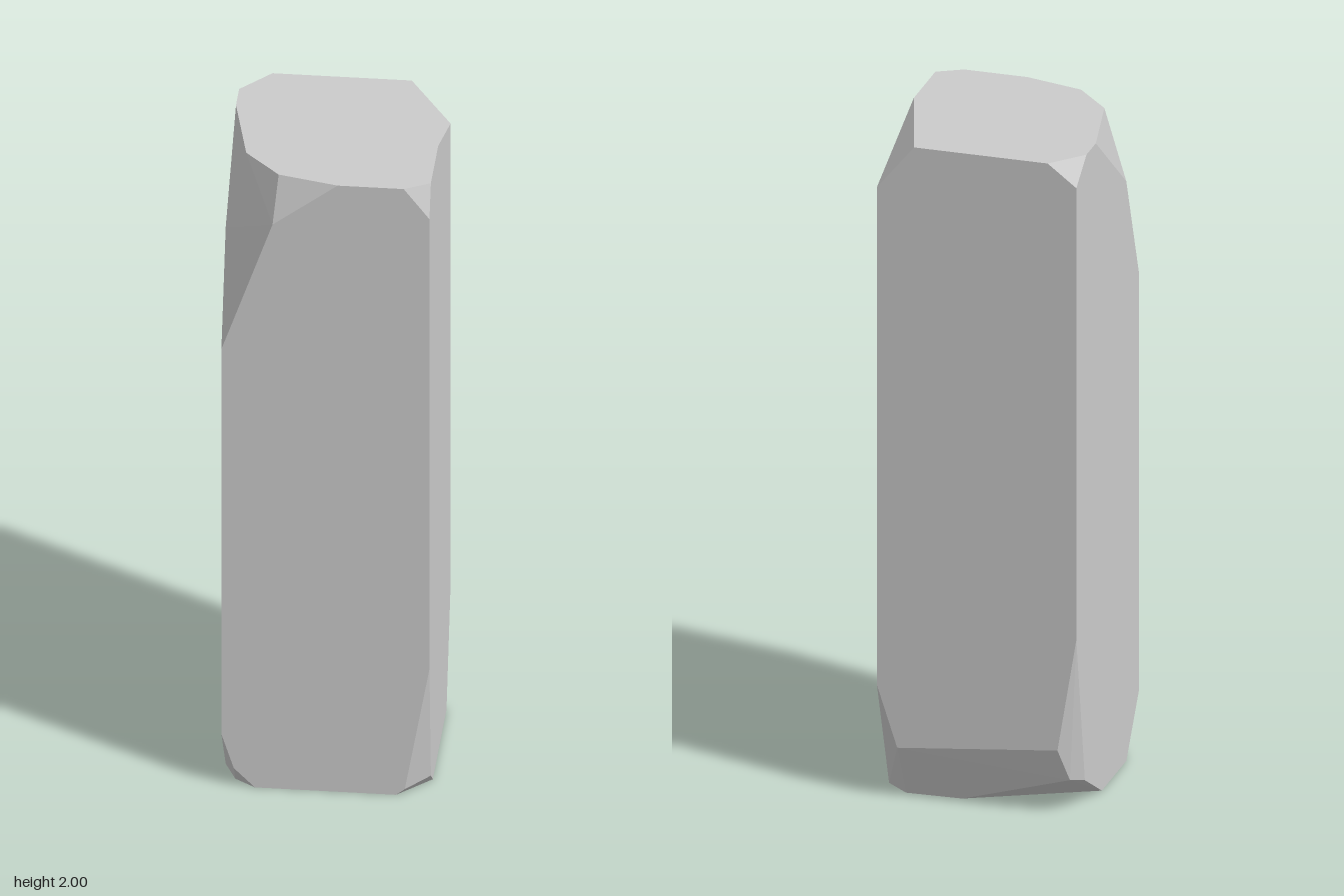
import * as THREE from 'three';
import { ConvexGeometry } from 'three/addons/geometries/ConvexGeometry.js';

const H = 0.295; // half width of the square pillar

// Each chipped corner of the block, as the vertices left by its cuts.
const chips = {
  topFrontLeft: [[H, 2, 0.255], [0.222, 2, H], [H, 1.905, H]],
  topBackLeft: [[H, 2, 0.052], [0.185, 2, -H], [H, 1.865, -H]],
  topBackRight: [[-H, 2, -0.2], [-0.21, 2, -H], [-H, 1.935, -H]],
  // large break with a small facet on either side
  topFrontRight: [
    [-H, 2, -0.112], [-0.24, 2, 0.143], [-H, 1.77, 0.175],
    [-H, 1.44, H], [-0.15, 1.86, H], [-0.137, 2, 0.252], [0.035, 2, H],
  ],
  // tall sliver above a small chamfer
  bottomFrontLeft: [
    [H, 0.42, H], [0.225, 0.02, H], [H, 0.045, 0.255], [H, 0, 0.2], [0.2, 0, H],
  ],
  bottomFrontRight: [
    [-H, 0.17, H], [-0.26, 0.06, H], [-0.2, 0, H], [-0.26, 0, 0.253], [-H, 0, 0.175],
  ],
  bottomBackLeft: [
    [H, 0.345, -H], [H, 0, -0.18], [0.228, 0, -0.235], [0.235, 0.16, -H],
  ],
  // sliver, sloping band along the back and a wide underside facet
  bottomBackRight: [
    [-H, 0.555, -H], [-0.239, 0.21, -H], [-0.264, 0.108, -0.257],
    [-H, 0.095, -0.215], [-H, 0, -0.055], [0.063, 0, -0.229],
  ],
};

export function createModel() {
  const group = new THREE.Group();
  group.name = 'stonePillar';

  // The block is convex, so its faces are the hull of the chipped corners.
  const points = Object.values(chips).flat().map((p) => new THREE.Vector3(...p));
  const block = new THREE.Mesh(
    new ConvexGeometry(points),
    new THREE.MeshStandardMaterial({ color: 0xcccccc, flatShading: true })
  );
  block.name = 'chippedBlock';
  group.add(block);
  return group;
}
